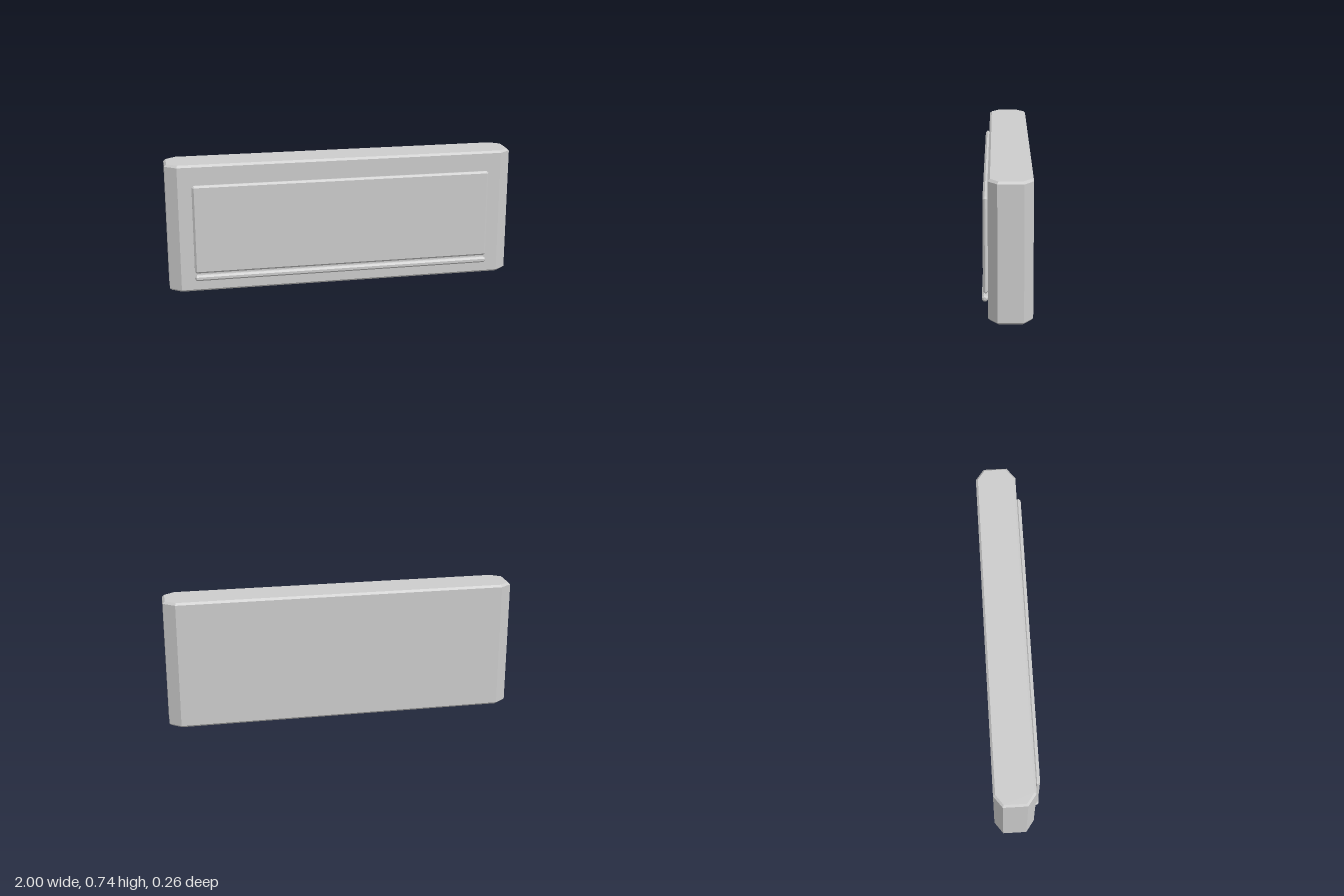
import * as THREE from 'three';

// Rectangle outline with cut corners, cx by cy per corner
function cutRect(x0, x1, y0, y1, cx, cy) {
  return new THREE.Shape([
    [x0 + cx, y0], [x1 - cx, y0], [x1, y0 + cy], [x1, y1 - cy],
    [x1 - cx, y1], [x0 + cx, y1], [x0, y1 - cy], [x0, y0 + cy],
  ].map(([x, y]) => new THREE.Vector2(x, y)));
}

// Slab of the given total depth with chamfered rims, from z = 0 to z = depth
function chamferedSlab(shape, depth, bevel) {
  const geometry = new THREE.ExtrudeGeometry(shape, {
    depth: depth - 2 * bevel, bevelEnabled: true, bevelSegments: 1,
    bevelSize: bevel, bevelThickness: bevel, bevelOffset: -bevel,
  });
  return geometry.translate(0, 0, bevel);
}

export function createModel() {
  const group = new THREE.Group();
  const grey = new THREE.MeshStandardMaterial({ color: 0xcccccc });
  grey.name = 'light grey';

  const add = (name, geometry) => {
    const mesh = new THREE.Mesh(geometry, grey);
    mesh.name = name;
    group.add(mesh);
    return mesh;
  };

  // Housing: wide plan with cut corners, raised upright
  const plan = cutRect(-1, 1, -0.099, 0.131, 0.065, 0.048);
  add('housing', chamferedSlab(plan, 0.743, 0.012).rotateX(-Math.PI / 2));

  // Front panel
  const face = cutRect(-0.858, 0.858, 0.115, 0.63, 0.01, 0.01);
  add('frontPanel', chamferedSlab(face, 0.028, 0.011)).position.z = 0.098;

  // Eight-sided rail with tapered ends below the panel
  const profile = [[0, -0.858], [0.008, -0.858], [0.018, -0.848],
    [0.018, 0.848], [0.008, 0.858], [0, 0.858]].map(([r, y]) => new THREE.Vector2(r, y));
  const rail = new THREE.LatheGeometry(profile, 8, Math.PI / 8).toNonIndexed();
  rail.computeVertexNormals();
  rail.rotateZ(Math.PI / 2);
  add('lowerRail', rail).position.set(0, 0.088, 0.115);

  return group;
}
